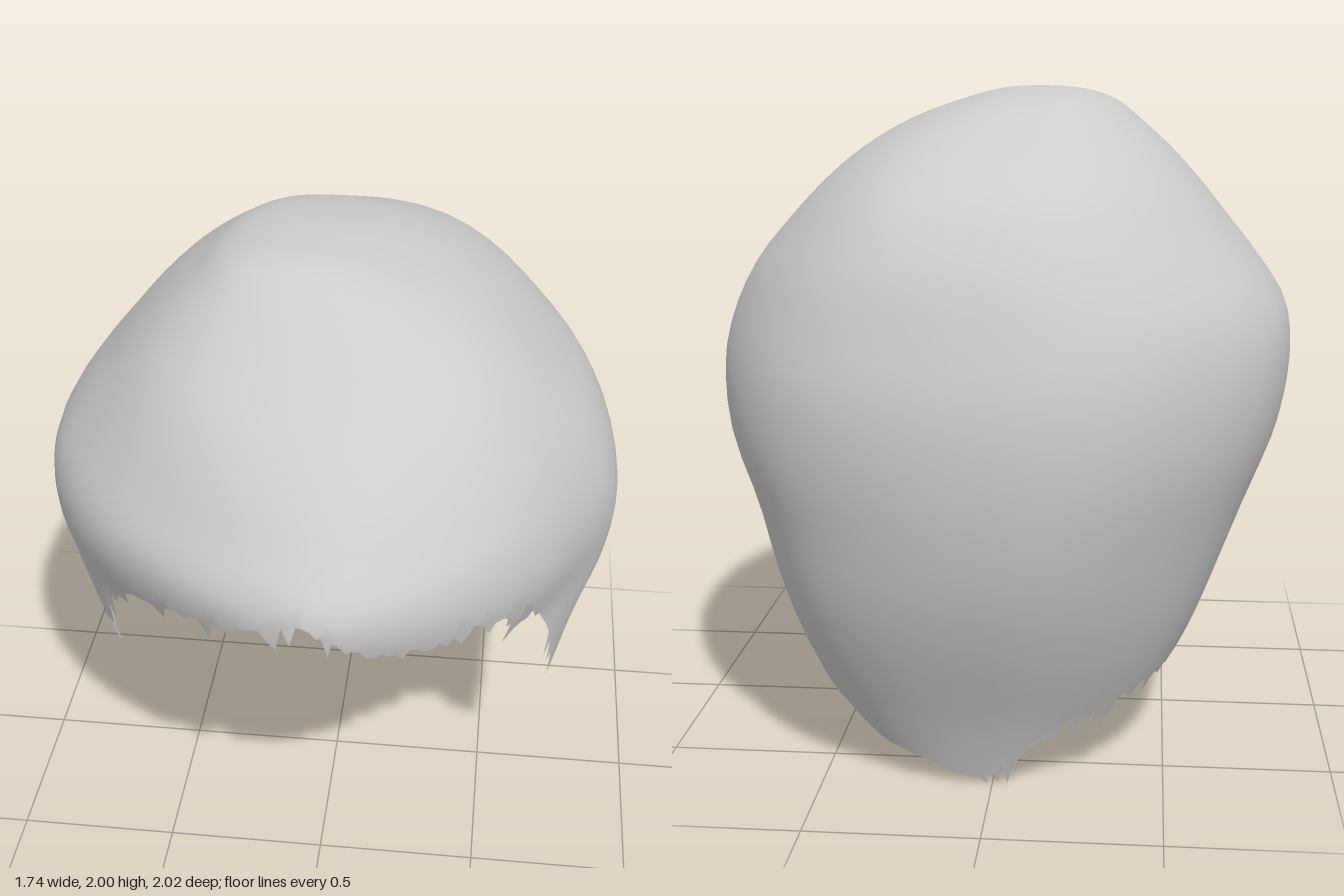
import * as THREE from 'three';

// Horizontal cross-sections: height, right x, left x, front z, back z
const SLICES = [
  [2.0, -0.13, -0.04, 0.15, 0.02], [1.97, -0.30, 0.13, 0.27, -0.27],
  [1.9, -0.40, 0.32, 0.39, -0.45], [1.8, -0.51, 0.48, 0.53, -0.66],
  [1.7, -0.60, 0.59, 0.69, -0.79], [1.6, -0.68, 0.68, 0.81, -0.86],
  [1.5, -0.76, 0.76, 0.90, -0.91], [1.36, -0.85, 0.83, 1.0, -0.955],
  [1.2, -0.87, 0.865, 0.97, -0.995], [1.0, -0.84, 0.85, 0.83, -1.0],
  [0.8, -0.765, 0.78, 0.80, -0.975], [0.6, -0.69, 0.725, 0.77, -0.925],
  [0.4, -0.61, 0.65, 0.72, -0.84], [0.2, -0.51, 0.55, 0.70, -0.74],
  [0.0, -0.43, 0.43, 0.68, -0.66],
].map(([y, ...rest]) => [Math.sqrt(2 - y), ...rest]);

// Hairline: angle in degrees (0 front, 90 left, 180 back, 270 right), height
const HAIRLINE = [
  [0, 1.31], [9, 1.25], [16, 1.22], [27, 1.19], [31, 1.22], [46, 1.16], [51, 1.0],
  [56, 0.9], [62, 0.8], [69, 0.63], [76, 0.7], [85, 0.8], [90, 0.84], [99, 0.81], [101, 0.6],
  [103, 0.42], [108, 0.32], [131, 0.25], [140, 0.2], [151, 0.1], [170, 0.05],
  [178, 0.01], [192, 0.09], [201, 0.17], [213, 0.22], [229, 0.27], [240, 0.29],
  [248, 0.33], [254, 0.42], [257, 0.6], [262, 0.74], [270, 0.77], [277, 0.76], [284, 0.7],
  [291, 0.65], [298, 0.83], [309, 1.0], [318, 1.14], [330, 1.22], [340, 1.26],
  [348, 1.30], [354, 1.34], [360, 1.31],
];

function linear(table, x) {
  let i = 0;
  while (i < table.length - 2 && table[i + 1][0] < x) i++;
  const [a, b] = [table[i], table[i + 1]];
  return THREE.MathUtils.lerp(a[1], b[1], (x - a[0]) / (b[0] - a[0]));
}

// Smooth (Hermite) lookup of one column of the slice table
function smooth(u, k) {
  const n = SLICES.length;
  let i = 0;
  while (i < n - 2 && SLICES[i + 1][0] < u) i++;
  const slope = (j) => {
    const a = SLICES[Math.max(j - 1, 0)], b = SLICES[Math.min(j + 1, n - 1)];
    return (b[k] - a[k]) / (b[0] - a[0]);
  };
  const a = SLICES[i], b = SLICES[i + 1], h = b[0] - a[0];
  const t = (u - a[0]) / h, t2 = t * t, t3 = t2 * t;
  return (2 * t3 - 3 * t2 + 1) * a[k] + (t3 - 2 * t2 + t) * h * slope(i)
    + (3 * t2 - 2 * t3) * b[k] + (t3 - t2) * h * slope(i + 1);
}

function shellPoint(phi, u) {
  const { lerp, smoothstep } = THREE.MathUtils;
  const s = Math.sin(phi), c = Math.cos(phi);
  const xr = smooth(u, 1), xl = smooth(u, 2), zf = smooth(u, 3), zb = smooth(u, 4);
  // The front and back lean towards the left
  const mid = (xr + xl) / 2 + c * c * (0.06 + 0.02 * c) * smoothstep(u, 0, 0.8);
  const half = (xl - xr) / 2;
  const zc = 0.09 * Math.max(0, 1 - u);
  // Full and round at the crown and back, squarer at the nape, pointed at the fringe
  const back = lerp(0.88, 0.8, smoothstep(u, 1.1, 1.35));
  const fringe = lerp(1.1, 1.22, smoothstep(s, -0.6, 0.6));
  const front = lerp(lerp(0.86, fringe, smoothstep(u, 0.35, 0.82)), 0.95, smoothstep(u, 0.95, 1.16));
  const e = lerp(back, front, smoothstep(c, -0.3, 0.5));
  // Gentle locks and waves
  const wave = 1 + 0.006 * Math.min(u, 1) * (Math.sin(7 * phi + 3 * u) + Math.sin(4 * phi - 6 * u));
  const x = mid + half * wave * Math.sign(s) * Math.abs(s) ** e;
  const z = zc + (c > 0 ? zf - zc : zc - zb) * wave * Math.sign(c) * Math.abs(c) ** e;
  return [x, 2 - u * u, z];
}

export function createModel() {
  const cols = 240, rows = 36;
  const positions = [], indices = [];
  let seed = 7;
  const random = () => (seed = (seed * 16807) % 2147483647) / 2147483647;

  // Columns run from the crown down to the ragged hairline
  for (let i = 0; i < cols; i++) {
    const deg = (i / cols) * 360;
    const ragged = random() ** 4 * (deg > 130 && deg < 180 ? 0.01 : 0.09);
    const edge = linear(HAIRLINE, deg);
    const tip = Math.max(0, edge + 0.015 - ragged);
    for (let j = 0; j <= rows; j++) {
      const u = j < rows ? Math.sqrt(2 - edge - 0.03) * (j / (rows - 1)) : Math.sqrt(2 - tip);
      positions.push(...shellPoint(THREE.MathUtils.degToRad(deg), u));
    }
  }
  for (let i = 0; i < cols; i++) {
    for (let j = 0; j < rows; j++) {
      const a = i * (rows + 1) + j, b = ((i + 1) % cols) * (rows + 1) + j;
      indices.push(a, a + 1, b, b, a + 1, b + 1);
    }
  }
  // Crown cap closes the small opening at the top
  const crown = positions.length / 3;
  positions.push(-0.085, 2, 0.09);
  for (let i = 0; i < cols; i++) indices.push(crown, i * (rows + 1), ((i + 1) % cols) * (rows + 1));

  const geometry = new THREE.BufferGeometry();
  geometry.setAttribute('position', new THREE.Float32BufferAttribute(positions, 3));
  geometry.setIndex(indices);
  geometry.computeVertexNormals();

  const hairGrey = new THREE.MeshStandardMaterial({ color: 0xcccccc, side: THREE.DoubleSide });
  hairGrey.name = 'hair grey';
  const hair = new THREE.Mesh(geometry, hairGrey);
  hair.name = 'hairShell';

  const group = new THREE.Group();
  group.name = 'hair';
  group.add(hair);
  return group;
}
